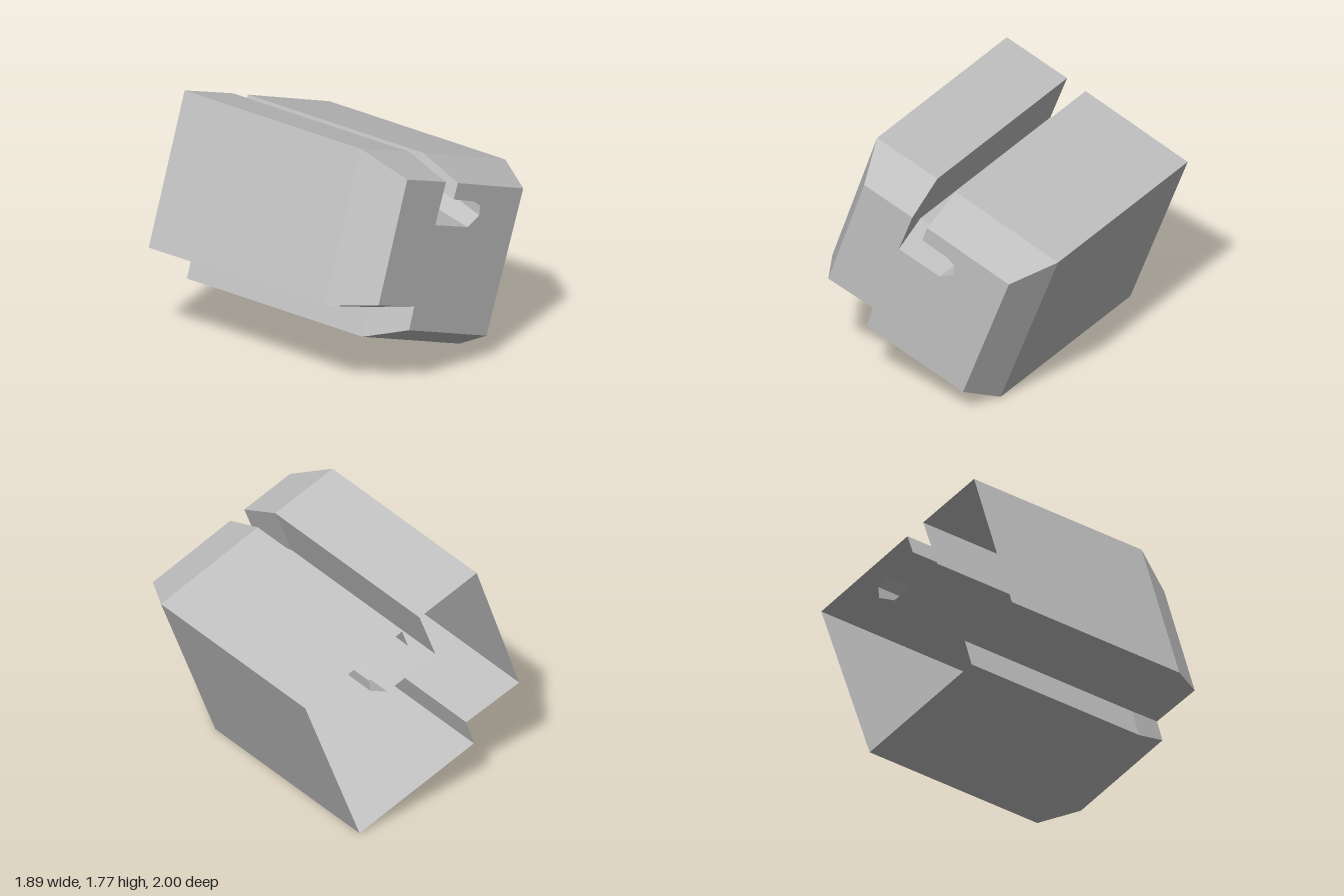
import * as THREE from 'three';

// Cross-section, counter-clockwise seen from the front
const PROFILE = [
  [0.465, 0.003], [0.945, 1.25], [0.09, 1.55],                      // right wall, top right
  [0.0375, 1.41], [0.3, 1.316], [0.381, 1.253], [0.37, 1.165],      // hooked slot
  [0.22, 1.097], [-0.206, 1.24], [-0.065, 1.605],
  [-0.57, 1.775], [-0.945, 0.7],                                    // top left, left wall
  [-0.4775, 0.555], [-0.545, 0.35],                                 // corner notch
];
const CENTRE_Y = 0.888;

const scaled = (s) => PROFILE.map(([x, y]) => [x * s, CENTRE_Y + (y - CENTRE_Y) * s]);

// Flat-faced wall between two matching cross-sections
function loft(back, zBack, front, zFront) {
  const pos = [];
  back.forEach((a, i) => {
    const j = (i + 1) % back.length;
    const a0 = [...a, zBack], b0 = [...back[j], zBack];
    const a1 = [...front[i], zFront], b1 = [...front[j], zFront];
    pos.push(...a0, ...b0, ...b1, ...a0, ...b1, ...a1);
  });
  const g = new THREE.BufferGeometry();
  g.setAttribute('position', new THREE.Float32BufferAttribute(pos, 3));
  g.computeVertexNormals();
  return g;
}

export function createModel() {
  const group = new THREE.Group();
  group.name = 'slottedShell';
  const grey = new THREE.MeshStandardMaterial({ color: 0xc0c0c0, side: THREE.DoubleSide });
  grey.name = 'light grey';

  const add = (name, geometry) => {
    const mesh = new THREE.Mesh(geometry, grey);
    mesh.name = name;
    group.add(mesh);
    return mesh;
  };

  const full = scaled(1), small = scaled(0.8);

  // Straight hollow body, open at the back
  add('bodyWalls', loft(full, -1, full, 0.66));
  // Tapered nose
  add('frontTaper', loft(full, 0.66, small, 1));
  // Flat front cap
  const shape = new THREE.Shape(small.map(([x, y]) => new THREE.Vector2(x, y)));
  add('frontFace', new THREE.ShapeGeometry(shape)).position.z = 1;

  return group;
}
